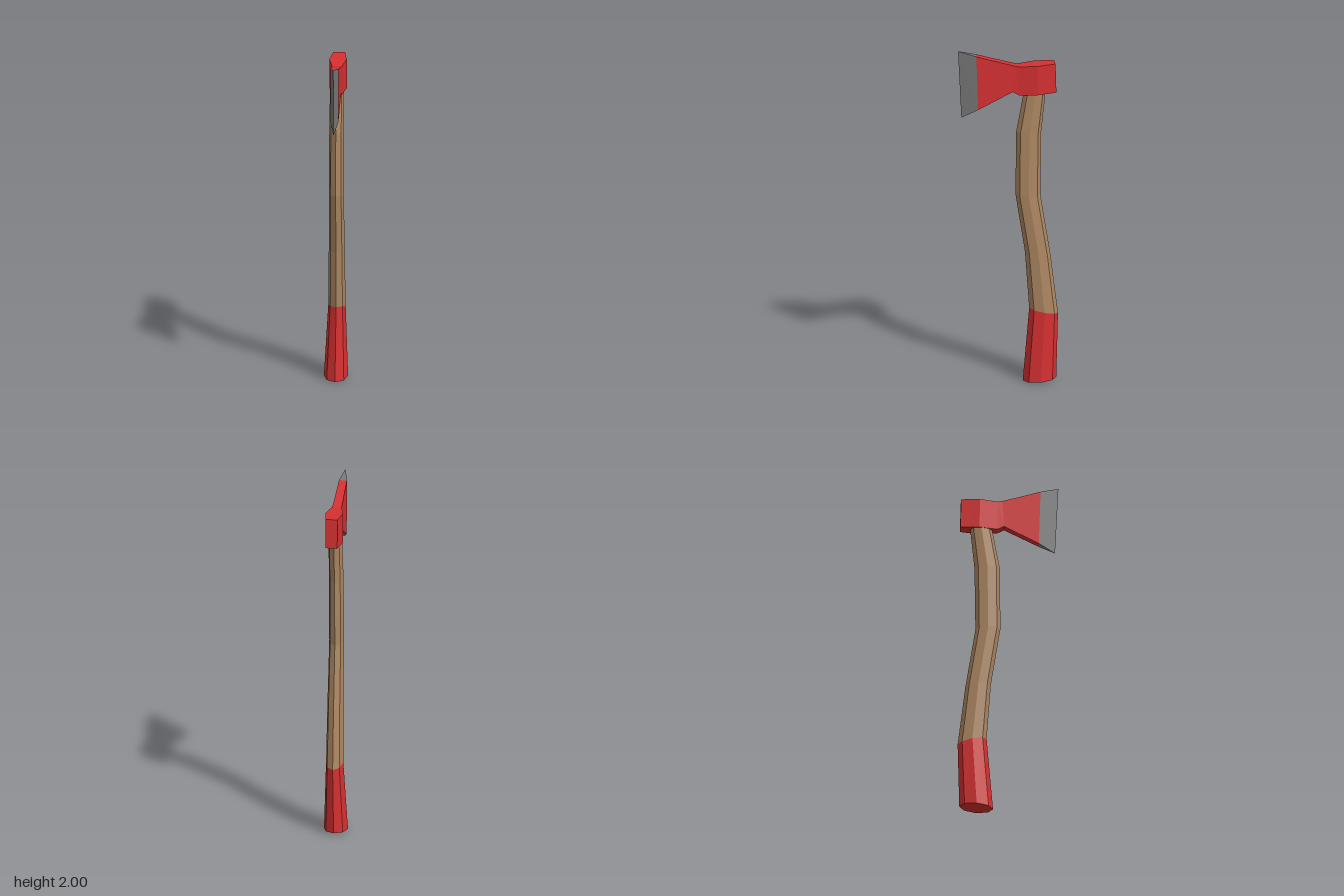
import * as THREE from 'three';

const RED = 0xd63031, WOOD = 0xad8762, STEEL = 0x777777;

// Skin a list of closed rings, each counter-clockwise about the direction of travel
function loft(name, color, rings, capStart, capEnd) {
  const pos = [];
  const tri = (a, b, c) => {
    const area = new THREE.Triangle(a, b, c).getArea();
    if (area > 1e-7) for (const p of [a, b, c]) pos.push(p.x, p.y, p.z);
  };
  const n = rings[0].length;
  for (let i = 0; i < rings.length - 1; i++) {
    for (let j = 0; j < n; j++) {
      const k = (j + 1) % n, lo = rings[i], hi = rings[i + 1];
      tri(lo[j], lo[k], hi[k]);
      tri(lo[j], hi[k], hi[j]);
    }
  }
  const first = rings[0], last = rings[rings.length - 1];
  for (let j = 1; j < n - 1; j++) {
    if (capStart) tri(first[0], first[j + 1], first[j]);
    if (capEnd) tri(last[0], last[j], last[j + 1]);
  }
  const geo = new THREE.BufferGeometry();
  geo.setAttribute('position', new THREE.Float32BufferAttribute(pos, 3));
  geo.computeVertexNormals();
  const mesh = new THREE.Mesh(geo, new THREE.MeshStandardMaterial({ color, flatShading: true }));
  mesh.name = name;
  return mesh;
}

// Eight-sided handle ring, tilted between its front and back points
function handleRing([cx, halfX, zFront, yFront, zBack, yBack]) {
  return Array.from({ length: 8 }, (_, i) => {
    const a = (i / 8) * Math.PI * 2, t = (1 - Math.cos(a)) / 2;
    return new THREE.Vector3(
      cx + halfX * Math.sin(a),
      THREE.MathUtils.lerp(yFront, yBack, t),
      THREE.MathUtils.lerp(zFront, zBack, t));
  });
}

// Four-cornered head ring with its own bottom and top points
function headRing([halfX, zBottom, yBottom, zTop, yTop]) {
  const cx = 0.011;
  return [
    new THREE.Vector3(cx + halfX, yBottom, zBottom),
    new THREE.Vector3(cx + halfX, yTop, zTop),
    new THREE.Vector3(cx - halfX, yTop, zTop),
    new THREE.Vector3(cx - halfX, yBottom, zBottom),
  ];
}

export function createModel() {
  const axe = new THREE.Group();
  axe.name = 'axe';

  // Curved handle: centre x, half width, front z, y, back z, y
  const handle = [
    [-0.002, 0.068, -0.082, 0, -0.272, 0.014],
    [0.002, 0.049, -0.118, 0.437, -0.281, 0.4],
    [0.003, 0.045, -0.094, 0.775, -0.238, 0.755],
    [0.004, 0.042, -0.04, 1.125, -0.181, 1.115],
    [0.005, 0.041, -0.044, 1.5, -0.186, 1.495],
    [0.006, 0.039, -0.1, 1.81, -0.217, 1.8],
  ].map(handleRing);
  axe.add(loft('grip', RED, handle.slice(0, 2), true, false));
  axe.add(loft('handle', WOOD, handle.slice(1), false, true));

  // Head from poll to cutting edge: half width, bottom z, y, top z, y
  const head = [
    [0.033, -0.267, 1.738, -0.262, 1.91],
    [0.049, -0.16, 1.733, -0.156, 1.906],
    [0.029, -0.058, 1.73, -0.055, 1.901],
    [0.026, -0.02, 1.75, -0.03, 1.906],
    [0.0225, 0.175, 1.65, 0.185, 1.97],
    [0, 0.267, 1.6, 0.286, 2],
  ].map(headRing);
  axe.add(loft('head', RED, head.slice(0, 5), true, false));
  axe.add(loft('cuttingEdge', STEEL, head.slice(4), false, false));

  return axe;
}
